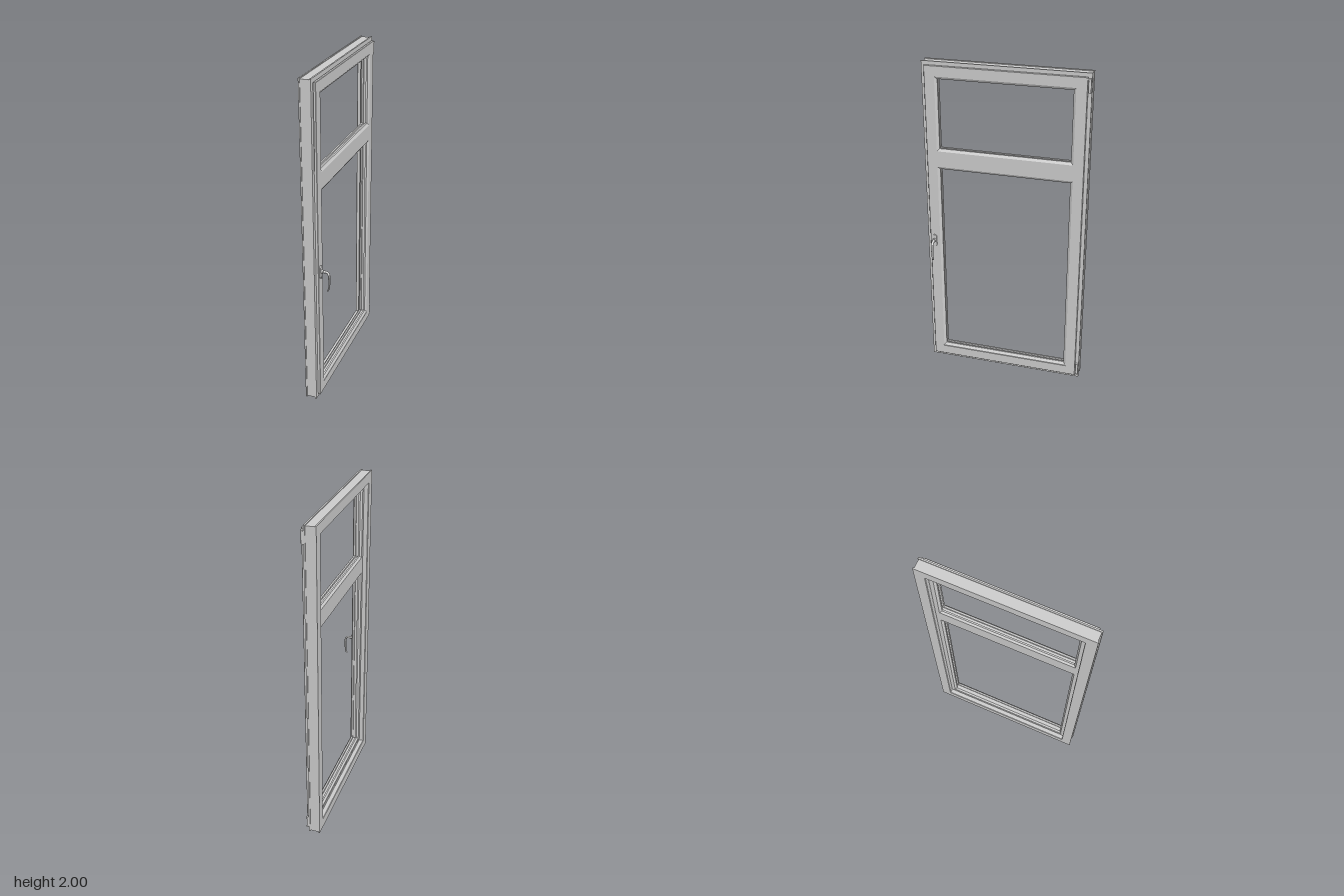
import * as THREE from 'three';
import { mergeVertices, toCreasedNormals } from 'three/addons/utils/BufferGeometryUtils.js';

const grey = new THREE.MeshStandardMaterial({ color: 0xcccccc });

function add(parent, name, geometry, x = 0, y = 0, z = 0) {
  const mesh = new THREE.Mesh(geometry, grey);
  mesh.name = name;
  mesh.position.set(x, y, z);
  parent.add(mesh);
  return mesh;
}

// Mitred rectangular ring: a closed profile of [inset, x] swept round a rectangle in the yz plane
function mitredRing(halfZ, y0, y1, profile) {
  const pos = [];
  const corners = [[1, 0], [1, 1], [-1, 1], [-1, 0]];
  const point = ([d, x], [sz, top]) => [x, top ? y1 - d : y0 + d, sz * (halfZ - d)];
  for (let k = 0; k < 4; k++) {
    const c0 = corners[k], c1 = corners[(k + 1) % 4];
    profile.forEach((p, i) => {
      const q = profile[(i + 1) % profile.length];
      const a = point(p, c0), b = point(q, c0), c = point(q, c1), d = point(p, c1);
      pos.push(...a, ...b, ...c, ...a, ...c, ...d);
    });
  }
  const g = new THREE.BufferGeometry();
  g.setAttribute('position', new THREE.Float32BufferAttribute(pos, 3));
  g.computeVertexNormals();
  return g;
}

// Tapered bar with an elliptical section swept along a curve in the xy plane
function sweptGrip(curve, steps, sides, radiusAt) {
  const pos = [], index = [];
  for (let i = 0; i <= steps; i++) {
    const t = i / steps, p = curve.getPointAt(t), tan = curve.getTangentAt(t);
    const [rn, rz] = radiusAt(t);
    for (let j = 0; j < sides; j++) {
      const a = (j / sides) * Math.PI * 2, n = Math.cos(a) * rn;
      pos.push(p.x - tan.y * n, p.y + tan.x * n, Math.sin(a) * rz);
      if (i < steps) {
        const j1 = (j + 1) % sides, r = i * sides, s = r + sides;
        index.push(r + j, r + j1, s + j1, r + j, s + j1, s + j);
      }
    }
  }
  // end caps
  const last = steps * sides;
  for (let j = 1; j < sides - 1; j++) {
    index.push(0, j + 1, j, last, last + j, last + j + 1);
  }
  const g = new THREE.BufferGeometry();
  g.setAttribute('position', new THREE.Float32BufferAttribute(pos, 3));
  g.setIndex(index);
  return toCreasedNormals(mergeVertices(g), 0.9);
}

function makeHandle() {
  const handle = new THREE.Group();
  handle.name = 'handle';

  // rounded mounting plate
  const w = 0.014, h = 0.026;
  const s = new THREE.Shape();
  s.absarc(0, h, w, 0, Math.PI, false);
  s.absarc(0, -h, w, Math.PI, Math.PI * 2, false);
  const plate = new THREE.ExtrudeGeometry(s, {
    depth: 0.006, bevelThickness: 0.002, bevelSize: 0.002, bevelOffset: -0.002, bevelSegments: 2, curveSegments: 10,
  });
  plate.rotateY(Math.PI / 2);
  add(handle, 'handlePlate', plate, 0.013, 0, 0);

  // collar round the spindle
  const collar = new THREE.CylinderGeometry(0.01, 0.012, 0.012, 20);
  collar.rotateZ(-Math.PI / 2);
  add(handle, 'handleCollar', collar, 0.025, 0.004, 0);

  // neck and hanging grip
  const path = new THREE.CatmullRomCurve3([
    [0.02, 0.004], [0.045, 0.003], [0.058, -0.001], [0.065, -0.013],
    [0.067, -0.045], [0.066, -0.085], [0.063, -0.105], [0.056, -0.118],
  ].map(([x, y]) => new THREE.Vector3(x, y, 0)));
  add(handle, 'handleGrip', sweptGrip(path, 36, 14, t => [0.008 - 0.004 * t, 0.009 - 0.003 * t]));
  return handle;
}

export function createModel() {
  const model = new THREE.Group();
  model.name = 'window';
  const HALF = 0.498, TOP = 2;

  // outer frame with grooved edge and inner rebate
  add(model, 'outerFrame', mitredRing(HALF, 0, TOP, [
    [0, -0.075], [0, -0.067], [0.005, -0.067], [0.005, -0.014], [0, -0.014], [0, -0.005],
    [0.036, -0.005], [0.036, -0.048], [0.064, -0.048], [0.064, -0.072], [0.061, -0.075],
  ]));

  // sash with overlapping lip
  add(model, 'sash', mitredRing(HALF, 0, TOP, [
    [0.042, -0.045], [0.042, 0], [0.021, 0], [0.021, 0.011], [0.023, 0.013],
    [0.081, 0.013], [0.081, -0.045],
  ]));

  // rubber seals: between lip and frame, and behind the sash
  add(model, 'lipSeal', mitredRing(HALF, 0, TOP, [[0.027, -0.006], [0.027, 0.001], [0.033, 0.001], [0.033, -0.006]]));
  add(model, 'frameSeal', mitredRing(HALF, 0, TOP, [[0.055, -0.049], [0.055, -0.044], [0.061, -0.044], [0.061, -0.049]]));

  // transom between the two lights
  const inner = HALF - 0.081, low = 1.367, high = 1.46;
  add(model, 'transom', new THREE.BoxGeometry(0.058, high - low, inner * 2), -0.016, (low + high) / 2, 0);

  // glazing beads with an empty pane groove
  const bead = [
    [0, -0.045], [0, 0.013], [0.003, 0.013], [0.016, 0.005], [0.018, 0.003], [0.018, -0.008], [0.008, -0.008],
    [0.008, -0.024], [0.018, -0.024], [0.018, -0.034], [0.006, -0.045],
  ];
  add(model, 'lowerBead', mitredRing(inner, 0.085, low, bead));
  add(model, 'upperBead', mitredRing(inner, high, TOP - 0.081, bead));

  // hinges on the side opposite the handle
  for (const [name, y, arm] of [['upperHinge', 1.93, 0.038], ['lowerHinge', 0.068, -0.036]]) {
    const hinge = new THREE.Group();
    hinge.name = name;
    hinge.position.set(0.004, y, -0.487);
    add(hinge, 'hingeBarrel', new THREE.CylinderGeometry(0.008, 0.008, 0.076, 16));
    add(hinge, 'hingeLeaf', new THREE.BoxGeometry(0.01, 0.07, 0.014), -0.005, 0, 0);
    add(hinge, 'hingeArm', new THREE.BoxGeometry(0.012, 0.008, 0.02), 0.002, arm, 0.001);
    model.add(hinge);
  }

  const handle = makeHandle();
  handle.position.set(0, 0.867, 0.449);
  model.add(handle);
  return model;
}
